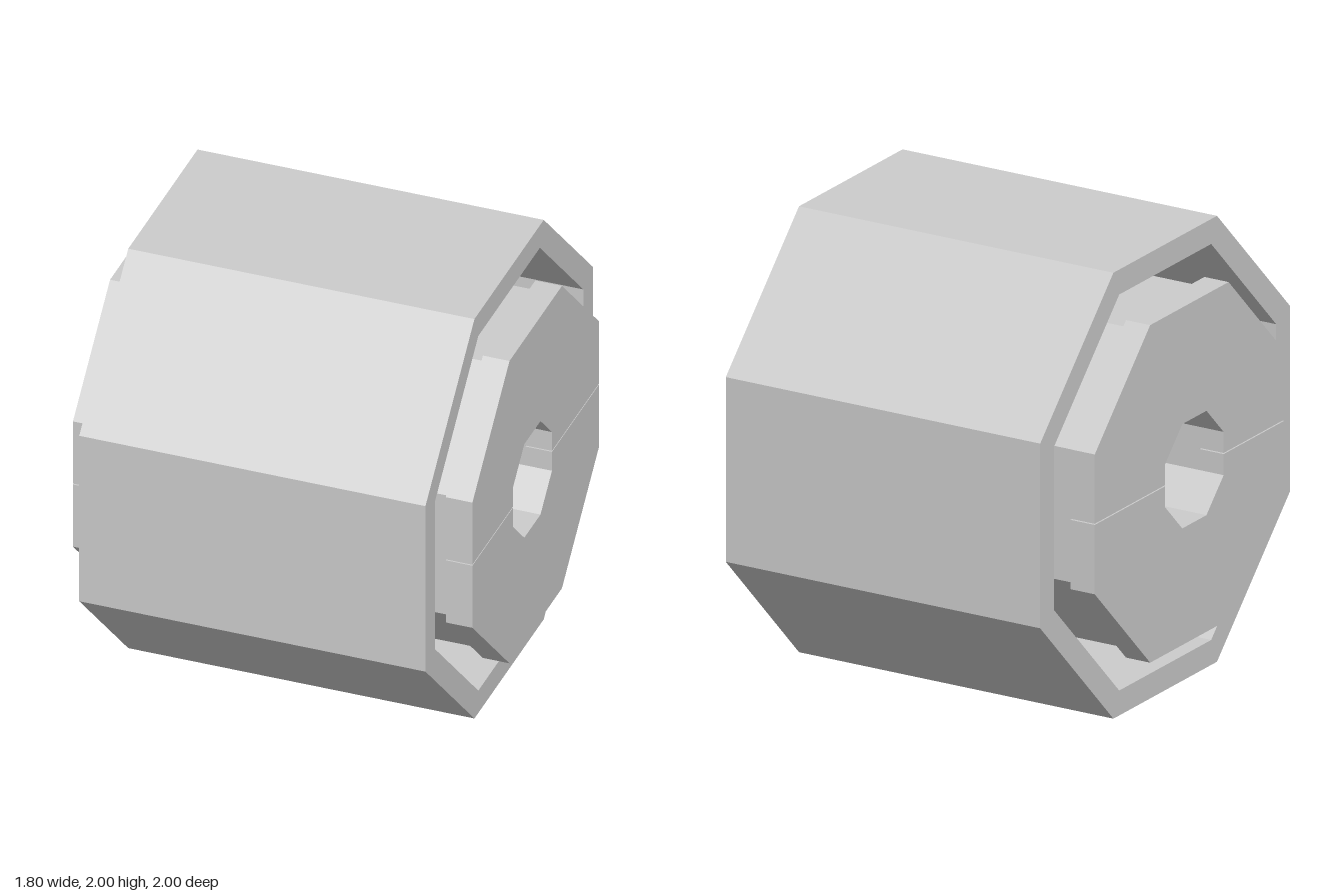
import * as THREE from 'three';

const T = Math.tan(Math.PI / 8); // half side of a regular octagon with apothem 1
const BORE_X = -0.04, BORE = 0.234, SEAM = 0.0025;

// Corners of an upright octagon, anticlockwise from the lower right side
function octagon(a, cx = 0) {
  return [[1, -T], [1, T], [T, 1], [-T, 1], [-1, T], [-1, -T], [-T, -1], [T, -1]]
    .map(([x, y]) => new THREE.Vector2(cx + x * a, y * a));
}

function ringShape(outer, inner, cx = 0) {
  const shape = new THREE.Shape(octagon(outer));
  shape.holes.push(new THREE.Path(octagon(inner, cx)));
  return shape;
}

// Upper (s = 1) or lower (s = -1) half of an end plate, notched by the bore
function halfPlateShape(a, s) {
  const arc = (r, cx) => [
    new THREE.Vector2(cx + r, SEAM * s),
    ...octagon(r, cx).slice(1, 5).map((p) => new THREE.Vector2(p.x, p.y * s)),
    new THREE.Vector2(cx - r, SEAM * s),
  ];
  return new THREE.Shape([...arc(a, 0), ...arc(BORE, BORE_X).reverse()]);
}

export function createModel() {
  const model = new THREE.Group();
  const grey = new THREE.MeshStandardMaterial({ color: 0xcccccc });
  grey.name = 'plain grey';

  // Extrudes a profile along x between two positions
  function add(name, shape, x0, x1) {
    const geometry = new THREE.ExtrudeGeometry(shape, { depth: x1 - x0, bevelEnabled: false });
    geometry.rotateY(Math.PI / 2).translate(x0, 1, 0);
    const mesh = new THREE.Mesh(geometry, grey);
    mesh.name = name;
    model.add(mesh);
  }

  // Outer shell and the core running through it
  add('outerShell', ringShape(1, 0.888), -0.78, 0.78);
  add('core', ringShape(0.72, BORE, BORE_X), -0.78, 0.78);

  // Split end plates
  for (const [side, x0, x1] of [['left', 0.78, 0.9], ['right', -0.9, -0.78]]) {
    add(side + 'UpperEndPlate', halfPlateShape(0.757, 1), x0, x1);
    add(side + 'LowerEndPlate', halfPlateShape(0.757, -1), x0, x1);
  }
  return model;
}
